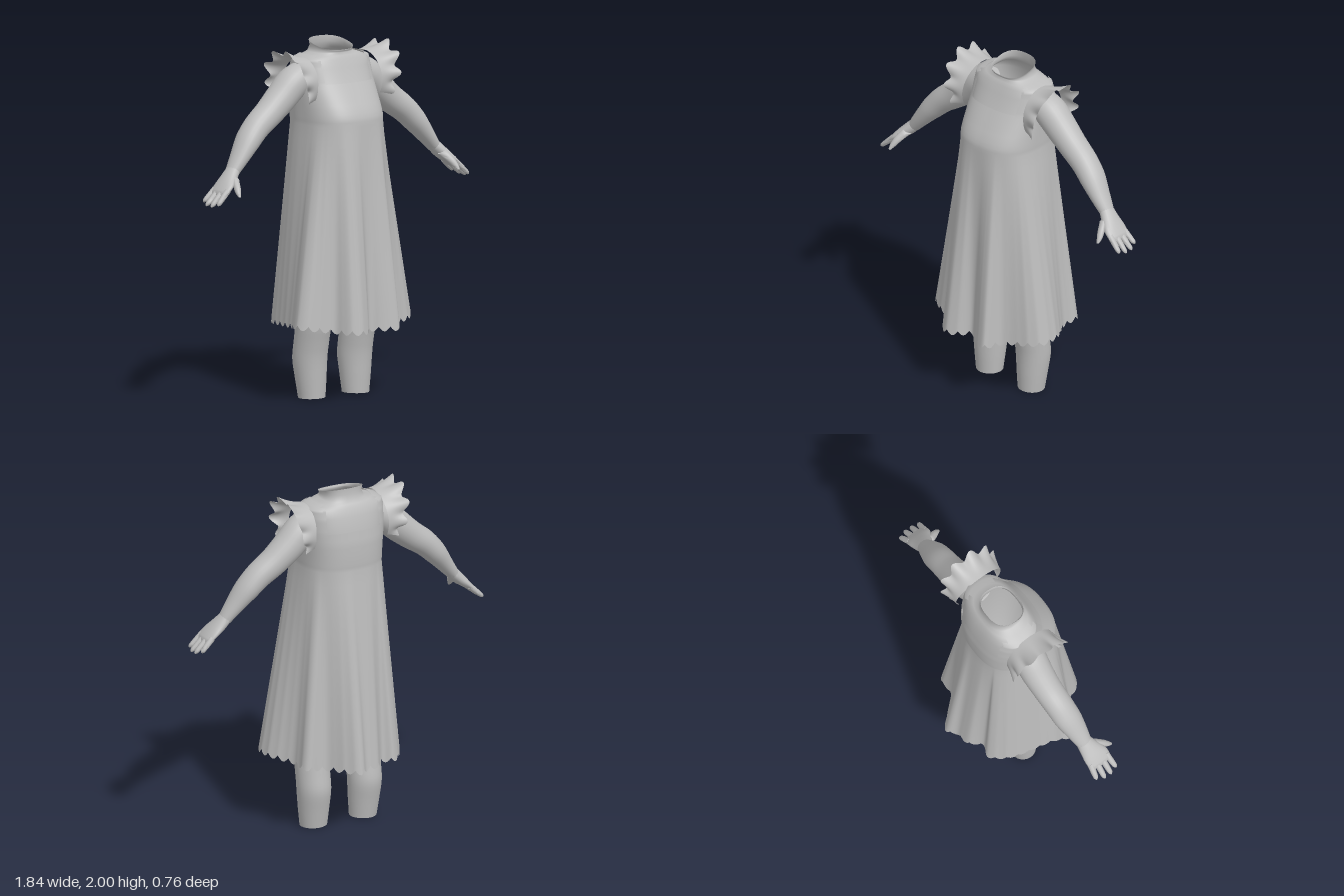
import * as THREE from 'three';
import { toCreasedNormals } from 'three/addons/utils/BufferGeometryUtils.js';

const V = (x, y, z) => new THREE.Vector3(x, y, z);
const lerp = THREE.MathUtils.lerp;

// Surface through rows of points; closed rows wrap, keep() can cut cells out
function grid(rows, closed, keep = () => true) {
  const n = rows[0].length, pos = [], idx = [];
  rows.forEach(r => r.forEach(p => pos.push(p.x, p.y, p.z)));
  for (let i = 0; i < rows.length - 1; i++) {
    for (let j = 0; j < (closed ? n : n - 1); j++) {
      const k = (j + 1) % n;
      const mid = rows[i][j].clone().add(rows[i + 1][k]).multiplyScalar(0.5);
      if (!keep(mid)) continue;
      const a = i * n + j, b = i * n + k, c = a + n, d = b + n;
      idx.push(a, c, b, b, c, d);
    }
  }
  const g = new THREE.BufferGeometry();
  g.setAttribute('position', new THREE.Float32BufferAttribute(pos, 3));
  g.setIndex(idx);
  g.computeVertexNormals();
  return g;
}

// Limb from sections [x, y, z, radius along z, radius across], closed at both ends
function limb(sections, side, seg = 20, steps = 4) {
  const path = new THREE.CatmullRomCurve3(sections.map(s => V(s[0] * side, s[1], s[2])));
  const size = new THREE.CatmullRomCurve3(sections.map(s => V(s[3], s[4], 0)));
  const count = (sections.length - 1) * steps, rows = [];
  const cap = p => Array.from({ length: seg }, () => p.clone());
  for (let i = 0; i <= count; i++) {
    const c = path.getPoint(i / count), r = size.getPoint(i / count);
    const t = path.getTangent(i / count).setZ(0).normalize();
    if (i === 0) rows.push(cap(c));
    rows.push(Array.from({ length: seg }, (_, j) => {
      const a = j / seg * Math.PI * 2, b = Math.cos(a) * r.y * side;
      return V(c.x - t.y * b, c.y + t.x * b, c.z + Math.sin(a) * r.x);
    }));
    if (i === count) rows.push(cap(c));
  }
  return toCreasedNormals(grid(rows, true), 1.0);
}

// Trunk rings: [y, half width, front z, back z]
const RINGS = [
  [0.88, 0.01, 0.01, -0.01], [0.9, 0.22, 0.17, -0.17], [1.48, 0.23, 0.25, -0.22],
  [1.58, 0.23, 0.243, -0.225], [1.63, 0.23, 0.222, -0.226], [1.7, 0.231, 0.182, -0.225],
  [1.77, 0.232, 0.14, -0.216], [1.85, 0.231, 0.105, -0.2], [1.895, 0.226, 0.085, -0.18],
  [1.915, 0.17, 0.072, -0.168], [1.93, 0.125, 0.06, -0.155],
];
const pw = (v, e) => Math.sign(v) * Math.pow(Math.abs(v), e);
function ringPoint(y, hx, zf, zb, a, off = 0) {
  const c = pw(Math.cos(a), 0.78), s = pw(Math.sin(a), 0.78);
  const mid = (zf + zb) / 2, hz = (zf - zb) / 2;
  return V((hx + off) * c, y, mid + (hz + off) * s);
}
function trunk(y, a, off) {
  let i = 0;
  while (i < RINGS.length - 2 && RINGS[i + 1][0] < y) i++;
  const p = RINGS[i], q = RINGS[i + 1], t = Math.min(1, (y - p[0]) / (q[0] - p[0]));
  return ringPoint(y, lerp(p[1], q[1], t), lerp(p[2], q[2], t), lerp(p[3], q[3], t), a, off);
}

// Body under the dress, ending in an open, tilted neck
function bodyGeometry() {
  const seg = 64, angles = Array.from({ length: seg }, (_, j) => j / seg * Math.PI * 2);
  const rows = RINGS.map(r => angles.map(a => trunk(r[0], a, 0)));
  [[0.5, 0.112], [1, 0.12]].forEach(([t, hx]) => rows.push(angles.map(a => {
    const p = ringPoint(0, hx, 0.068, -0.145, a);
    p.y = lerp(1.93, 1.963 - 0.255 * p.z, t);
    return p;
  })));
  return grid(rows, true);
}

// Plan of the fluted hem, as x, z pairs
const HEM = [
  [0.41, 0.05], [0.405, 0.165], [0.35, 0.21], [0.27, 0.235], [0.2, 0.27], [0.155, 0.37],
  [0.08, 0.35], [0, 0.3], [-0.06, 0.36], [-0.125, 0.38], [-0.18, 0.345], [-0.22, 0.26],
  [-0.31, 0.225], [-0.39, 0.18], [-0.4, 0.13], [-0.36, 0.05], [-0.33, -0.06], [-0.3, -0.17],
  [-0.27, -0.23], [-0.2, -0.295], [-0.14, -0.27], [-0.07, -0.335], [0.0, -0.345],
  [0.06, -0.385], [0.13, -0.32], [0.2, -0.235], [0.32, -0.22], [0.33, -0.1],
];

// Dress: scalloped skirt blending into a bodice with a square neckline
function dressGeometry() {
  const scallops = 40, seg = scallops * 6, waist = 1.54, rows = [];
  const curve = new THREE.CatmullRomCurve3(HEM.map(([x, z]) => V(x, 0, z)), true);
  const hem = curve.getSpacedPoints(seg).slice(0, seg);
  const angles = hem.map(p => Math.atan2(p.z, p.x));
  for (let i = 0; i <= 14; i++) {
    rows.push(hem.map((h, j) => {
      const t = i / 14, top = trunk(waist, angles[j], 0.008);
      const base = 0.415 + 0.03 * Math.max(0, Math.abs(h.x) - 0.2) / 0.2
        - 0.027 * Math.abs(Math.sin(j / 6 * Math.PI));
      return V(lerp(h.x, top.x, t), lerp(base, waist, t), lerp(h.z, top.z, t));
    }));
  }
  const heights = [];
  for (let i = 1; i <= 10; i++) heights.push(lerp(waist, 1.77, i / 10));
  for (let i = 1; i <= 12; i++) heights.push(lerp(1.77, 1.918, i / 12));
  heights.forEach(y => rows.push(angles.map(a => {
    const p = trunk(y, a, 0.009);
    p.y += y > 1.88 ? 0.006 : 0;
    return p;
  })));
  return grid(rows, true, m => !(m.y > 1.77 && Math.abs(m.x) < 0.165));
}

// Ruffle around the front, top and back of the armhole
function frillGeometry(side) {
  const n = 90, rows = [];
  for (let k = 0; k <= 6; k++) {
    const t = k / 6, row = [];
    for (let j = 0; j <= n; j++) {
      const u = j / n, a = lerp(-0.55, Math.PI + 0.55, u), up = Math.max(0, Math.sin(a));
      const wave = Math.sin(u * Math.PI * 2 * 7 + 0.6) * t * t;
      const swell = Math.sin(Math.PI * u);
      const rad = 0.015 * t + 0.022 * t * t * up + 0.018 * wave;
      const x = 0.232 - 0.012 * up + t * (0.06 + 0.078 * swell) + 0.012 * wave;
      row.push(V(side * x, 1.765 + Math.sin(a) * (0.15 + rad), -0.025 + Math.cos(a) * (0.155 + rad)));
    }
    rows.push(row);
  }
  return grid(rows, false);
}

const ARM = [
  [0.2, 1.815, -0.05, 0.085, 0.08], [0.27, 1.765, -0.055, 0.095, 0.092], [0.35, 1.69, -0.058, 0.09, 0.088],
  [0.44, 1.615, -0.055, 0.083, 0.08], [0.53, 1.55, -0.048, 0.08, 0.074], [0.6, 1.48, -0.04, 0.078, 0.066],
  [0.67, 1.395, -0.028, 0.062, 0.049], [0.73, 1.32, -0.02, 0.045, 0.035],
];
const PALM = [
  [0.72, 1.333, -0.02, 0.045, 0.035], [0.765, 1.287, -0.008, 0.06, 0.034],
  [0.81, 1.248, 0.002, 0.074, 0.026], [0.845, 1.215, 0.004, 0.072, 0.018], [0.855, 1.205, 0.004, 0.06, 0.01],
];
const THUMB = [
  [0.745, 1.295, 0.025, 0.025, 0.025], [0.77, 1.255, 0.07, 0.025, 0.022],
  [0.785, 1.22, 0.1, 0.019, 0.016], [0.79, 1.2, 0.12, 0.008, 0.008],
];
const LEG = [
  [0.158, 0, -0.015, 0.075, 0.078], [0.16, 0.1, -0.021, 0.087, 0.088], [0.162, 0.22, -0.027, 0.101, 0.096],
  [0.162, 0.32, -0.012, 0.103, 0.096], [0.162, 0.42, 0.005, 0.108, 0.096],
  [0.155, 0.62, 0, 0.125, 0.105], [0.125, 0.95, 0, 0.13, 0.1],
];
// Fingers: [knuckle z, tip z, tip x, tip y]
const FINGERS = [
  [-0.05, -0.062, 0.9, 1.165], [-0.015, -0.018, 0.918, 1.15],
  [0.022, 0.026, 0.918, 1.147], [0.056, 0.068, 0.905, 1.158],
];

export function createModel() {
  const model = new THREE.Group();
  model.name = 'dressedFigure';
  const grey = new THREE.MeshStandardMaterial({ color: 0xbcbcbc, side: THREE.DoubleSide });
  grey.name = 'plain grey';
  const add = (name, geometry, parent = model) => {
    const mesh = new THREE.Mesh(geometry, grey);
    mesh.name = name;
    parent.add(mesh);
  };

  add('bodyAndNeck', bodyGeometry());
  add('dress', dressGeometry());

  for (const [name, side] of [['left', 1], ['right', -1]]) {
    add(name + 'Frill', frillGeometry(side));
    add(name + 'Leg', limb(LEG, side, 24));
    const arm = new THREE.Group();
    arm.name = name + 'Arm';
    model.add(arm);
    add('arm', limb(ARM, side, 24), arm);
    add('palm', limb(PALM, side), arm);
    add('thumb', limb(THUMB, side, 12), arm);
    FINGERS.forEach(([z0, z1, x, y]) => add('finger', limb([
      [0.825, 1.233, z0, 0.019, 0.018],
      [lerp(0.825, x, 0.55), lerp(1.233, y, 0.55), lerp(z0, z1, 0.55), 0.017, 0.015],
      [lerp(0.825, x, 0.88), lerp(1.233, y, 0.88), lerp(z0, z1, 0.88), 0.014, 0.012],
      [x, y, z1, 0.005, 0.005],
    ], side, 10, 3), arm));
  }
  return model;
}
